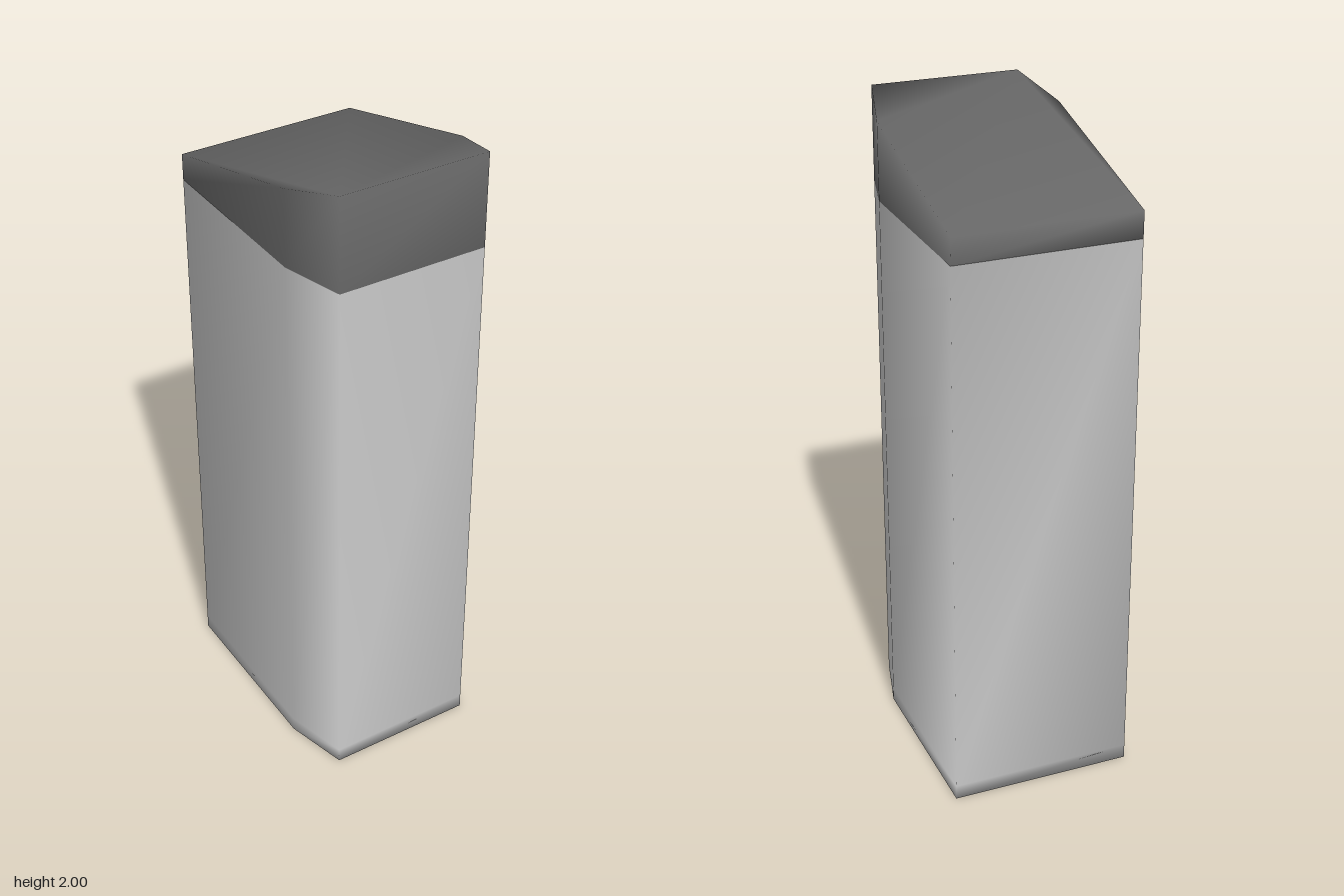
import * as THREE from 'three';

// Footprint corners as [x, z], counter-clockwise seen from above
const footprint = [
  [-0.23, 0.383], [0.23, 0.383], [0.281, 0.19],
  [0.281, -0.383], [-0.281, -0.383], [-0.281, 0.19],
];

// Joins rings of the footprint at given heights into one smooth shell
function loft(heights, { capBottom = false, capTop = false }) {
  const n = footprint.length;
  const positions = [];
  const index = [];
  for (const height of heights) {
    for (const [x, z] of footprint) positions.push(x, height(z), z);
  }
  for (let r = 0; r < heights.length - 1; r++) {
    for (let i = 0; i < n; i++) {
      const j = (i + 1) % n;
      const a = r * n + i, b = r * n + j;
      index.push(a, b, b + n, a, b + n, a + n);
    }
  }
  const top = (heights.length - 1) * n;
  for (let i = 1; i < n - 1; i++) {
    if (capBottom) index.push(0, i + 1, i);
    if (capTop) index.push(top, top + i, top + i + 1);
  }
  const geometry = new THREE.BufferGeometry();
  geometry.setAttribute('position', new THREE.Float32BufferAttribute(positions, 3));
  geometry.setIndex(index);
  geometry.computeVertexNormals();
  return geometry;
}

export function createModel() {
  const group = new THREE.Group();
  group.name = 'tower';
  const eaves = 1.713;
  const slope = (z) => 1.897 + (z / 0.383) * 0.103;

  // Tall walls, with a narrow softly shaded band at the foot
  const walls = new THREE.Mesh(
    loft([() => 0, () => 0.045, () => eaves], { capBottom: true }),
    new THREE.MeshStandardMaterial({ color: 0xcccccc }),
  );
  walls.name = 'walls';

  // Dark roof sloping down towards the back
  const roof = new THREE.Mesh(
    loft([() => eaves, slope], { capTop: true }),
    new THREE.MeshStandardMaterial({ color: 0x666666 }),
  );
  roof.name = 'roof';

  group.add(walls, roof);
  return group;
}
